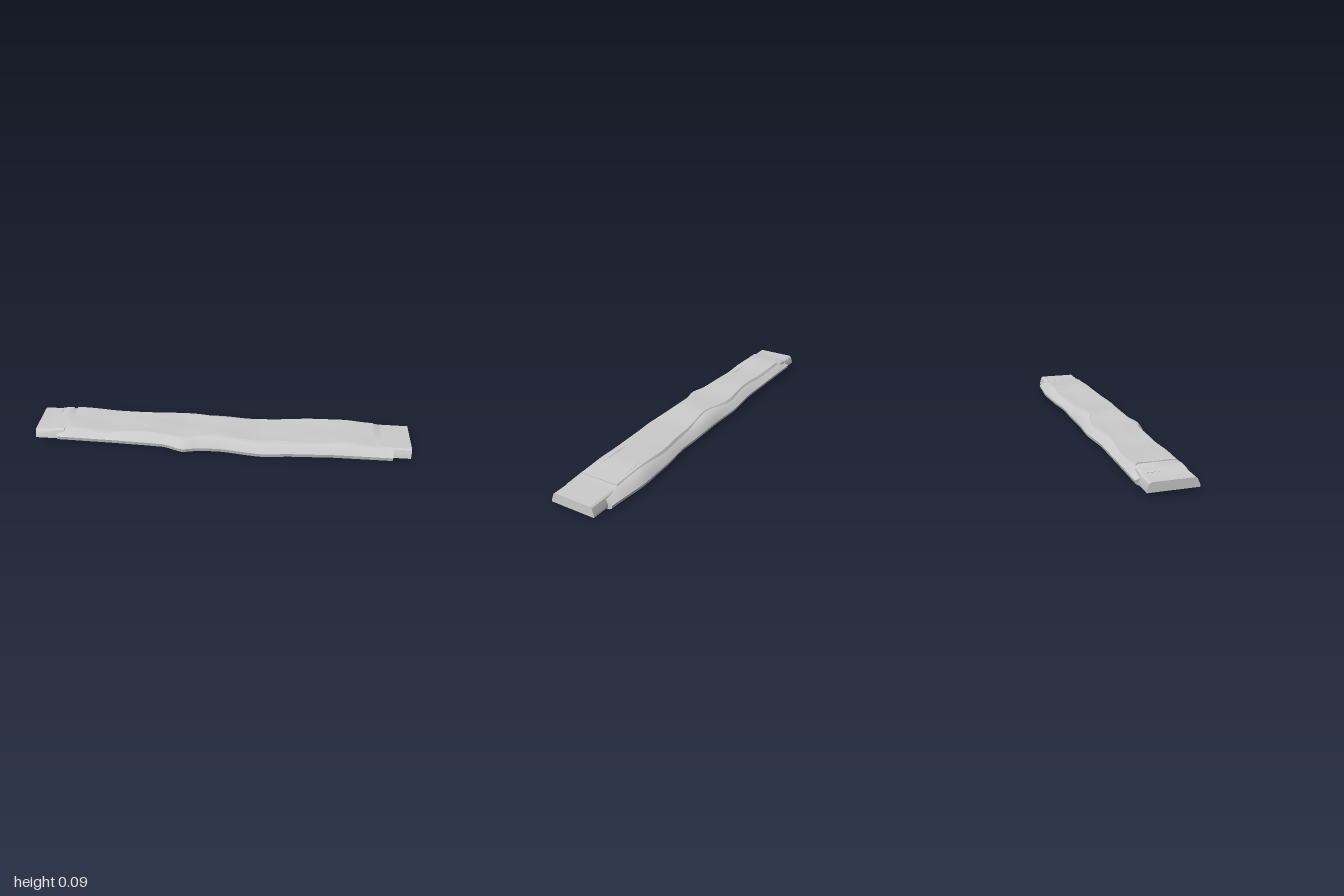
import * as THREE from 'three';
import { toCreasedNormals } from 'three/addons/utils/BufferGeometryUtils.js';

// Closed loft along +x through equal-sized rings of [x, y, z]; rings run front, top, back, bottom
function loft(rings, crease = 0.45) {
  const n = rings[0].length, last = (rings.length - 1) * n, index = [];
  for (let i = 0; i < rings.length - 1; i++) {
    for (let j = 0; j < n; j++) {
      const a = i * n + j, d = i * n + (j + 1) % n;
      index.push(a, a + n, d + n, a, d + n, d);
    }
  }
  for (let j = 1; j < n - 1; j++) {
    index.push(0, j, j + 1, last, last + j + 1, last + j);
  }
  const geo = new THREE.BufferGeometry();
  geo.setAttribute('position', new THREE.Float32BufferAttribute(rings.flat(2), 3));
  geo.setIndex(index);
  return toCreasedNormals(geo, crease);
}

// Value at x from a short list of [x, value] pairs, eased between them
function sample(points, x) {
  let i = 0;
  while (i < points.length - 2 && x > points[i + 1][0]) i++;
  const [x0, v0] = points[i], [x1, v1] = points[i + 1];
  const t = THREE.MathUtils.clamp((x - x0) / (x1 - x0), 0, 1);
  return THREE.MathUtils.lerp(v0, v1, 0.5 * t + 0.5 * t * t * (3 - 2 * t));
}

// Worn outline of the plank
const frontEdge = [[-0.9, 0.118], [-0.6, 0.12], [-0.3, 0.127], [-0.2, 0.157], [-0.1, 0.136], [0, 0.132],
  [0.22, 0.152], [0.4, 0.141], [0.6, 0.131], [0.9, 0.131]];
const backEdge = [[-0.9, -0.142], [-0.6, -0.136], [-0.4, -0.133], [-0.2, -0.146], [0, -0.136], [0.3, -0.135],
  [0.5, -0.156], [0.68, -0.165], [0.9, -0.15]];
const topEdge = [[-0.9, 0.073], [-0.84, 0.082], [-0.78, 0.083], [-0.6, 0.076], [-0.4, 0.082], [-0.2, 0.077],
  [0, 0.086], [0.2, 0.073], [0.4, 0.076], [0.65, 0.083], [0.8, 0.075], [0.9, 0.068]];
const bottomEdge = [[-0.9, 0.016], [-0.4, 0.013], [-0.1, 0.006], [0.2, 0.001], [0.4, 0.006], [0.9, 0.007]];

// Cross-section of the plank body: sloping sides with rounded shoulders
function bodyRing(x) {
  const f = sample(frontEdge, x), b = sample(backEdge, x);
  const t = sample(topEdge, x) - 0.004, y = sample(bottomEdge, x);
  const skew = x < -0.8 ? 0.3 : 0;
  return [
    [y, f - 0.006], [y + 0.022, f], [t - 0.018, f - 0.016], [t - 0.005, f - 0.027], [t, f - 0.044],
    [t, b + 0.05], [t - 0.008, b + 0.033], [t - 0.025, b + 0.014], [y + 0.024, b], [y + 0.008, b + 0.004],
    [y, b + 0.018],
  ].map(([py, z]) => [x + Math.max(0, z - 0.04) * skew, py, z]);
}

// Raised, unevenly worn face on top of the plank
function faceRing(x) {
  const f = sample(frontEdge, x) * 0.5 + 0.028 + 0.005 * Math.sin(x * 17);
  const dent = 0.022 * Math.exp(-((x / 0.12) ** 2));
  const b = sample(backEdge, x) * 0.7 - 0.004 + 0.005 * Math.sin(x * 11) + dent;
  const t = sample(topEdge, x), low = t - 0.012;
  const ring = [[low, f + 0.004], [t, f - 0.003]];
  for (let k = 1; k < 5; k++) {
    const z = THREE.MathUtils.lerp(f, b, k / 5);
    ring.push([t + 0.0015 * Math.sin(x * 9 + k * 2), z]);
  }
  ring.push([t + 0.002, b + 0.004], [low, b - 0.004]);
  return ring.map(([y, z]) => [x, y, z]);
}

// Tapered tenon section
function tenonRing(x, low, high) {
  return [[low, 0.113], [low + 0.012, 0.112], [high - 0.006, 0.1], [high, 0.093],
    [high, -0.105], [high - 0.006, -0.113], [low + 0.012, -0.123], [low, -0.123]]
    .map(([y, z]) => [x, y, z - 0.003]);
}

function stations(from, to, count) {
  return Array.from({ length: count + 1 }, (_, i) => from + (to - from) * i / count);
}

export function createModel() {
  const group = new THREE.Group();
  const material = new THREE.MeshStandardMaterial({ color: 0xcccccc });
  const add = (name, geometry) => {
    const mesh = new THREE.Mesh(geometry, material);
    mesh.name = name;
    group.add(mesh);
  };

  add('plankBody', loft(stations(-0.905, 0.905, 72).map(bodyRing)));
  add('raisedFace', loft(stations(-0.815, 0.815, 64).map(faceRing)));

  // Tenons: the left one rises slightly into the plank
  add('rightTenon', loft([[-1, 0.065], [-0.91, 0.066], [-0.88, 0.074], [-0.84, 0.076]]
    .map(([x, high]) => tenonRing(x, 0.02, high))));
  add('leftTenon', loft([[0.85, 0.068], [1, 0.067]]
    .map(([x, high]) => tenonRing(x, 0.016, high))));

  // Thin splinters lying along the grain: x, z, length
  [[-0.6, 0.052, 0.16], [0.62, 0.062, 0.24], [0.68, -0.09, 0.22], [-0.64, -0.088, 0.2]].forEach(([cx, cz, len]) => {
    const rings = stations(-0.5, 0.5, 8).map((u) => {
      const x = cx + u * len, y = sample(topEdge, x);
      const w = 0.0005 + 0.005 * Math.cos(u * Math.PI), h = 0.003 * Math.cos(u * Math.PI);
      return [[y - 0.006, w], [y + h, w * 0.4], [y + h, -w * 0.4], [y - 0.006, -w]]
        .map(([py, z]) => [x, py, cz + z]);
    });
    add('splinter', loft(rings));
  });
  return group;
}
